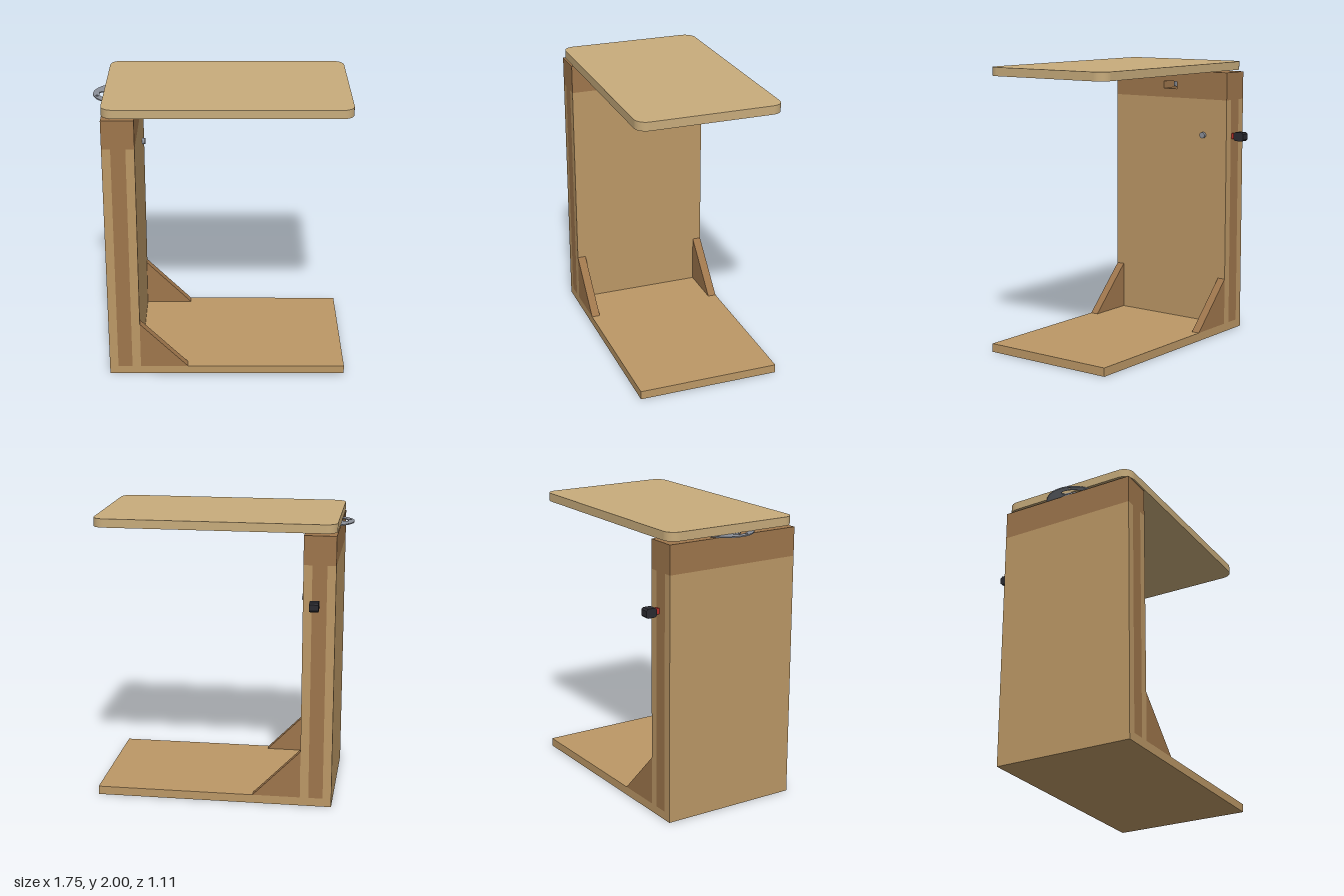
import * as THREE from 'three';

const mat = (color) => new THREE.MeshStandardMaterial({ color });

export function createModel() {
  const model = new THREE.Group();
  const wood = mat(0xbc9866), darkWood = mat(0x9e764c), topWood = mat(0xc8ac7c);
  const steel = mat(0x8c9099), red = mat(0xb82c28), black = mat(0x2a2a30);

  const add = (name, geometry, material, x = 0, y = 0, z = 0) => {
    const mesh = new THREE.Mesh(geometry, material);
    mesh.name = name;
    mesh.position.set(x, y, z);
    model.add(mesh);
    return mesh;
  };
  // Box given by its minimum and maximum corners
  const box = (name, material, [x0, y0, z0], [x1, y1, z1]) =>
    add(name, new THREE.BoxGeometry(x1 - x0, y1 - y0, z1 - z0), material,
      (x0 + x1) / 2, (y0 + y1) / 2, (z0 + z1) / 2);
  const poly = (pts) => new THREE.Shape(pts.map(([x, y]) => new THREE.Vector2(x, y)));
  const extrude = (shape, depth, curveSegments = 12) =>
    new THREE.ExtrudeGeometry(shape, { depth, bevelEnabled: false, curveSegments });

  const zBack = -0.445, zFront = 0.555, zMid = 0.055;

  // Base and hollow column
  box('baseBoard', wood, [-0.79, 0, zBack], [0.875, 0.06, zFront]);
  box('outerPanel', wood, [-0.79, 0.06, zBack], [-0.73, 1.725, zFront]);
  box('innerPanel', wood, [-0.63, 0.06, zBack], [-0.57, 1.725, zFront]);
  for (const [name, z] of [['frontInfill', zFront - 0.06], ['backInfill', zBack]])
    box(name, darkWood, [-0.73, 0.06, z], [-0.63, 1.725, z + 0.06]);

  // Header block with a pocket open toward the inside
  box('headerBack', darkWood, [-0.79, 1.725, zBack], [-0.74, 1.925, zFront]);
  const header = poly([[-zFront, 1.725], [-zBack, 1.725], [-zBack, 1.925], [-zFront, 1.925]]);
  header.holes.push(poly([[-0.115, 1.79], [-0.115, 1.845], [0.005, 1.845], [0.005, 1.79]]));
  add('header', extrude(header, 0.17).rotateY(Math.PI / 2), darkWood, -0.74);
  add('pivotNut', new THREE.CylinderGeometry(0.042, 0.042, 0.042, 6), steel, -0.68, 1.823, zMid);
  add('pivotBolt', new THREE.CylinderGeometry(0.02, 0.02, 0.13, 24), steel, -0.68, 1.87, zMid);

  // Triangular corner braces
  const brace = poly([[-0.57, 0.06], [-0.235, 0.06], [-0.57, 0.4]]);
  for (const [name, z] of [['frontBrace', zFront - 0.06], ['backBrace', zBack]])
    add(name, extrude(brace, 0.06), darkWood, 0, 0, z);

  // Swivel disc with two curved slots and two small holes
  const disc = new THREE.Shape().absarc(0, 0, 0.197, 0, Math.PI * 2);
  for (const turn of [0, Math.PI]) {
    const a = Math.PI + turn, b = a - 1.3, mid = 0.135, r = 0.02;
    const slot = new THREE.Path();
    slot.absarc(0, 0, mid + r, a, b, true);
    slot.absarc(mid * Math.cos(b), mid * Math.sin(b), r, b, b - Math.PI, true);
    slot.absarc(0, 0, mid - r, b, a, false);
    slot.absarc(mid * Math.cos(a), mid * Math.sin(a), r, a + Math.PI, a, true);
    const h = a - 0.35;
    disc.holes.push(slot, new THREE.Path().absarc(
      0.176 * Math.cos(h), 0.176 * Math.sin(h), 0.01, 0, Math.PI * 2));
  }
  add('swivelDisc', extrude(disc, 0.008, 32).rotateX(Math.PI / 2), steel, -0.68, 1.94, zMid);
  add('swivelHub', new THREE.CylinderGeometry(0.11, 0.11, 0.008, 48), steel, -0.68, 1.929, zMid);

  // Table top with rounded corners
  const x0 = -0.79, x1 = 0.875, r = 0.08, P = Math.PI;
  const top = new THREE.Shape();
  top.absarc(x1 - r, zFront - r, r, 0, P / 2);
  top.absarc(x0 + r, zFront - r, r, P / 2, P);
  top.absarc(x0 + r, zBack + r, r, P, P * 1.5);
  top.absarc(x1 - r, zBack + r, r, P * 1.5, P * 2);
  add('tableTop', extrude(top, 0.06).rotateX(P / 2), topWood, 0, 2, 0);

  // Bolt on the inner panel, and lever with chamfered grip on the back side
  add('sideBolt', new THREE.CylinderGeometry(0.022, 0.022, 0.03, 24).rotateZ(P / 2),
    steel, -0.564, 1.46, -0.245);
  box('leverShaft', red, [-0.665, 1.44, -0.48], [-0.638, 1.48, -0.43]);
  const w = 0.04, h = 0.032, c = 0.012;
  const grip = poly([[-w + c, -h], [w - c, -h], [w, -h + c], [w, h - c],
    [w - c, h], [-w + c, h], [-w, h - c], [-w, -h + c]]);
  add('leverGrip', extrude(grip, 0.062).rotateY(P / 2), black, -0.683, 1.46, -0.515);

  return model;
}
